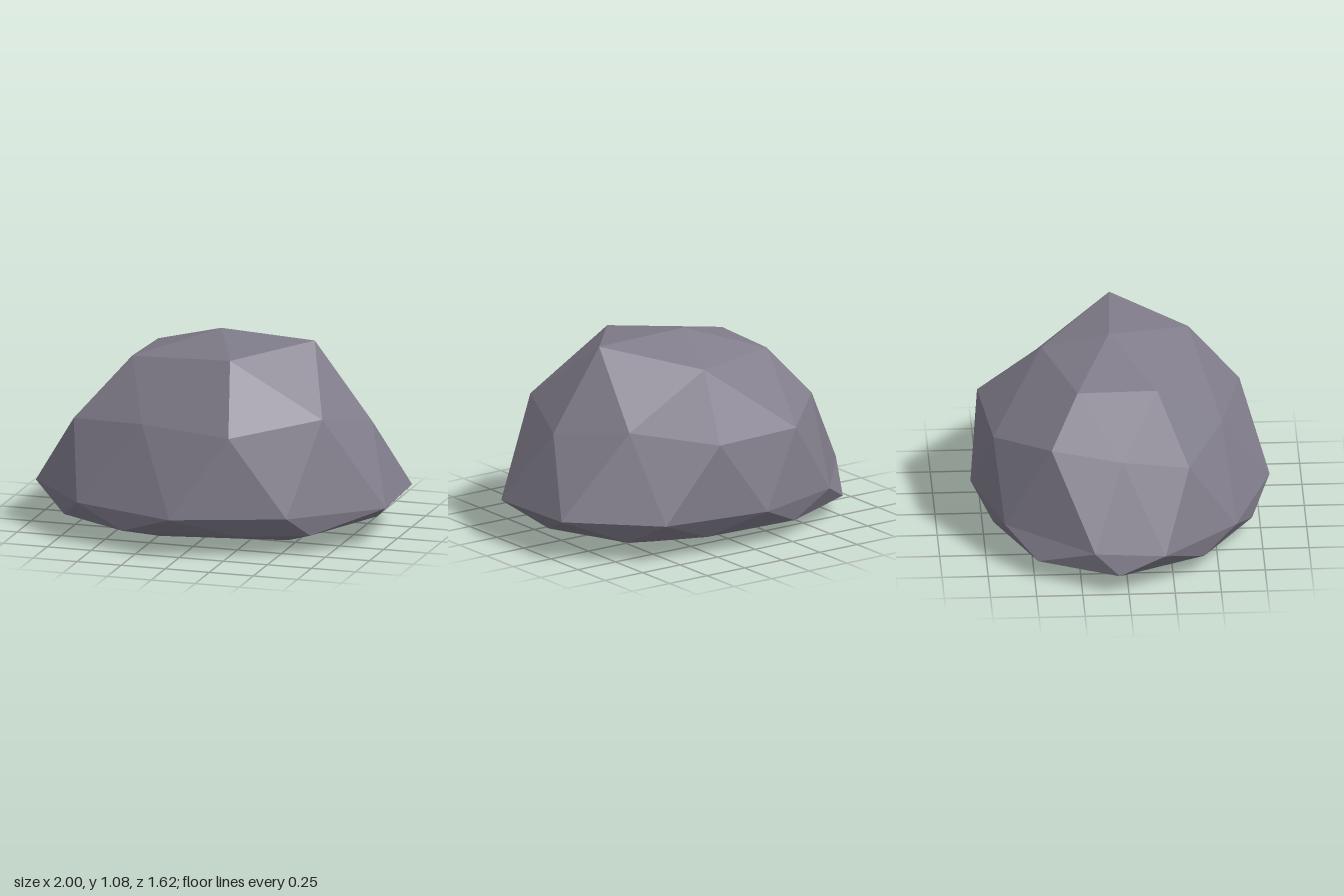
import * as THREE from 'three';

// Faceted boulder: a two-step icosphere layout whose rings have been pushed about.
// Rings run around the boulder from +x towards +z.
const EQUATOR = [
  [1.0, 0.22, 0.21], [0.56, 0.22, 0.6], [-0.04, 0.22, 0.81], [-0.63, 0.22, 0.6], [-0.99, 0.22, 0.2],
  [-0.95, 0.22, -0.18], [-0.57, 0.22, -0.65], [-0.04, 0.22, -0.81], [0.57, 0.22, -0.72], [0.98, 0.22, -0.32],
];

const TOP = {
  pole: [-0.02, 1.08, -0.06],
  inner: [[0.52, 1.06, -0.03], [0.17, 1.02, 0.38], [-0.45, 0.95, 0.18], [-0.44, 0.94, -0.25], [0.1, 0.95, -0.42]],
  outer: [
    [0.84, 0.63, -0.05], [0.69, 0.73, 0.37], [0.25, 0.66, 0.66], [-0.28, 0.67, 0.54], [-0.73, 0.62, 0.34],
    [-0.69, 0.64, -0.02], [-0.63, 0.69, -0.4], [-0.31, 0.62, -0.7], [0.24, 0.63, -0.76], [0.6, 0.68, -0.42],
  ],
};

// The underside rings start a tenth of a turn later
const BOTTOM = {
  pole: [-0.02, 0.0, 0.0],
  inner: [[0.45, 0.0, 0.22], [-0.23, 0.01, 0.38], [-0.56, 0.03, -0.02], [-0.2, 0.03, -0.45], [0.4, 0.02, -0.36]],
  outer: [
    [0.66, 0.11, 0.49], [0.3, 0.1, 0.6], [-0.34, 0.11, 0.7], [-0.76, 0.1, 0.42], [-1.0, 0.11, -0.05],
    [-0.78, 0.1, -0.48], [-0.3, 0.1, -0.7], [0.27, 0.1, -0.68], [0.68, 0.1, -0.52], [0.87, 0.1, -0.05],
  ],
};

// Joins pole, five-point ring, ten-point ring and equator into triangles
function domeGeometry({ pole, inner, outer }, equator, upward) {
  const positions = [];
  const tri = (a, b, c) => positions.push(...a, ...(upward ? c : b), ...(upward ? b : c));
  const at = (ring, i) => ring[(i + ring.length) % ring.length];

  for (let j = 0; j < 5; j++) {
    tri(pole, inner[j], at(inner, j + 1));
    tri(inner[j], at(outer, 2 * j - 1), outer[2 * j]);
    tri(inner[j], outer[2 * j], outer[2 * j + 1]);
    tri(inner[j], outer[2 * j + 1], at(inner, j + 1));
  }
  for (let k = 0; k < 10; k++) {
    tri(outer[k], at(equator, k - 1), equator[k]);
    tri(outer[k], equator[k], at(outer, k + 1));
  }

  const geometry = new THREE.BufferGeometry();
  geometry.setAttribute('position', new THREE.Float32BufferAttribute(positions, 3));
  geometry.computeVertexNormals(); // unshared corners give flat facets
  return geometry;
}

export function createModel() {
  const model = new THREE.Group();
  model.name = 'boulder';

  const stone = new THREE.MeshStandardMaterial({ color: 0x807c8a });
  stone.name = 'stone grey';

  const upper = new THREE.Mesh(domeGeometry(TOP, EQUATOR, true), stone);
  upper.name = 'upperRock';

  const shifted = [...EQUATOR.slice(1), EQUATOR[0]];
  const lower = new THREE.Mesh(domeGeometry(BOTTOM, shifted, false), stone);
  lower.name = 'underside';

  model.add(upper, lower);
  return model;
}
